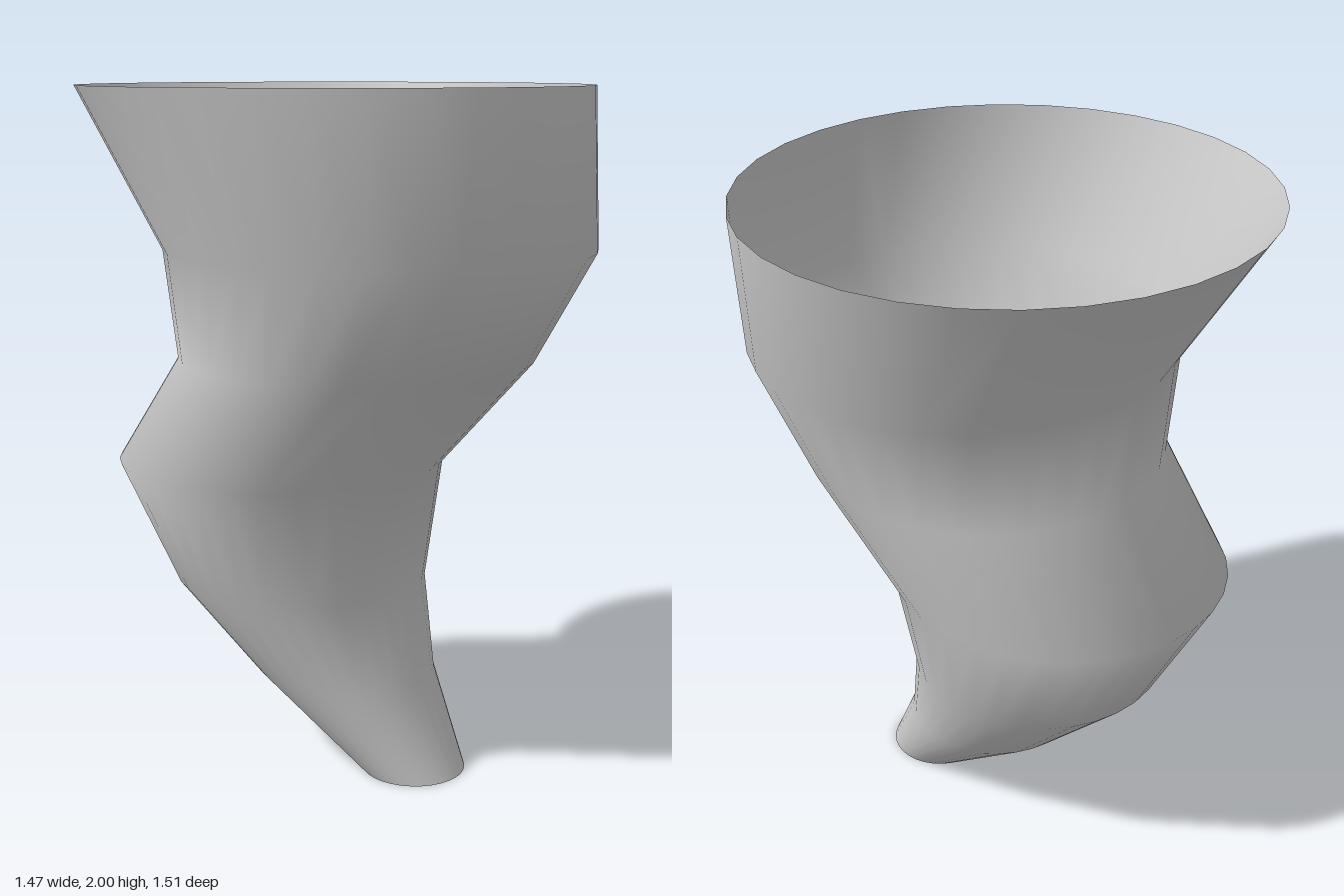
import * as THREE from 'three';
import { mergeVertices } from 'three/addons/utils/BufferGeometryUtils.js';

// Horizontal rings from top to bottom: height, radius, centre x, centre z
const RINGS = [
  [2.0, 0.735, 0.0, -0.018],
  [1.55, 0.615, 0.005, 0.14],
  [1.23, 0.519, 0.007, 0.055],
  [0.9, 0.49, -0.03, -0.205],
  [0.54, 0.377, -0.025, -0.132],
  [0.27, 0.266, -0.005, 0.028],
  [0.0, 0.154, 0.012, 0.27],
];
const SIDES = 32;

// Open tube whose rows follow the rings
function bentFunnel() {
  const tube = new THREE.CylinderGeometry(1, 1, 1, SIDES, RINGS.length - 1, true);
  const pos = tube.attributes.position;
  for (let i = 0; i < pos.count; i++) {
    const [y, r, cx, cz] = RINGS[Math.floor(i / (SIDES + 1))];
    pos.setXYZ(i, cx + r * pos.getX(i), y, cz + r * pos.getZ(i));
  }
  // Weld the seam so the shading stays smooth all round
  tube.deleteAttribute('uv');
  tube.deleteAttribute('normal');
  const welded = mergeVertices(tube, 1e-4);
  welded.computeVertexNormals();
  return welded;
}

export function createModel() {
  const group = new THREE.Group();
  group.name = 'bentFunnel';

  // Thin wall, open at both ends
  const wall = new THREE.Mesh(
    bentFunnel(),
    new THREE.MeshStandardMaterial({ color: 0xcccccc, side: THREE.DoubleSide })
  );
  wall.name = 'funnelWall';
  group.add(wall);
  return group;
}
